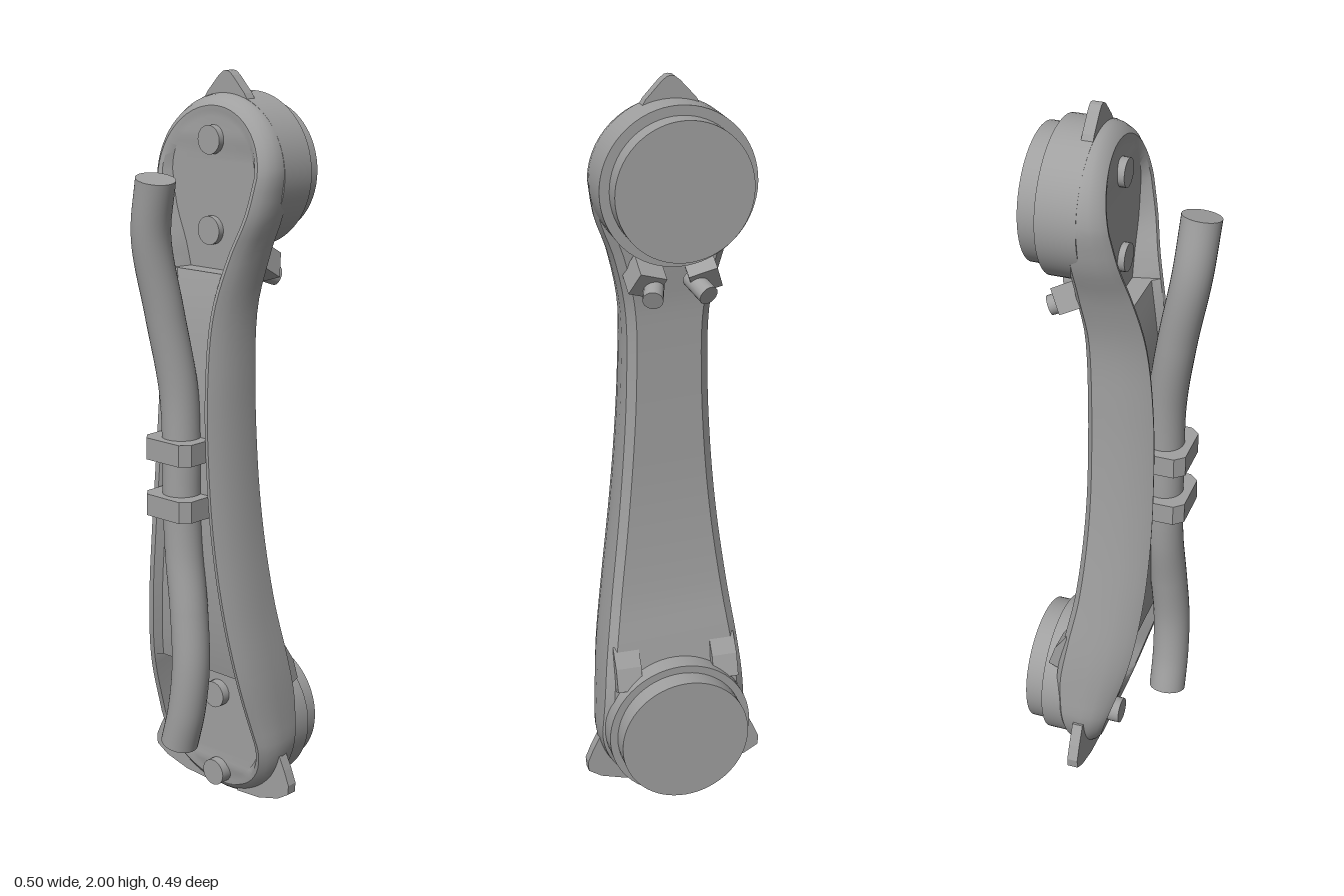
import * as THREE from 'three';
import { toCreasedNormals } from 'three/addons/utils/BufferGeometryUtils.js';

const CX = 0.012; // centre line of the arm
const BOT = { y: 0.215, r: 0.21 }, TOP = { y: 1.745, r: 0.2 };

// smooth interpolation through [y, value] pairs
function profile(pts) {
  const slope = (i) => {
    const a = pts[Math.max(i - 1, 0)], b = pts[Math.min(i + 1, pts.length - 1)];
    return (b[1] - a[1]) / (b[0] - a[0]);
  };
  return (y) => {
    if (y <= pts[0][0]) return pts[0][1];
    if (y >= pts[pts.length - 1][0]) return pts[pts.length - 1][1];
    let i = 0;
    while (y > pts[i + 1][0]) i++;
    const h = pts[i + 1][0] - pts[i][0], t = (y - pts[i][0]) / h, t2 = t * t, t3 = t2 * t;
    return pts[i][1] * (2 * t3 - 3 * t2 + 1) + pts[i + 1][1] * (3 * t2 - 2 * t3)
      + h * slope(i) * (t3 - 2 * t2 + t) + h * slope(i + 1) * (t3 - t2);
  };
}

const halfWidth = profile([[0.215, 0.21], [0.4, 0.195], [0.6, 0.168], [0.8, 0.143], [1, 0.125],
  [1.2, 0.115], [1.4, 0.117], [1.55, 0.148], [1.65, 0.184], [1.745, 0.2]]);
const frontZ = profile([[0.01, -0.06], [0.1, -0.03], [0.2, 0], [0.4, 0.06], [0.6, 0.092], [0.8, 0.105],
  [1, 0.106], [1.2, 0.1], [1.4, 0.08], [1.6, 0.04], [1.8, 0.003], [1.94, -0.02]]);
const backZ = profile([[0.01, -0.125], [0.3, -0.15], [0.45, -0.13], [0.6, -0.102], [0.8, -0.083],
  [1, -0.076], [1.4, -0.08], [1.55, -0.095], [1.94, -0.11]]);
const seamZ = profile([[0.01, -0.09], [0.3, -0.06], [0.6, -0.025], [1, -0.02], [1.4, -0.03], [1.94, -0.065]]);

// outline of the arm, inset by d, at one row
function outline(row, d) {
  if (row.arc) {
    const r = row.arc.r - d;
    return [r * Math.cos(row.a), row.arc.y + r * Math.sin(row.a)];
  }
  return [halfWidth(row.y) - d, row.y];
}

// shell with a shallow front channel and a deep flat pocket at each end
function armGeometry() {
  const rows = [], N = 14, PB = 0.41, PT = 1.5;
  for (let i = 0; i < N; i++) rows.push({ arc: BOT, a: (i / N - 1) * Math.PI / 2, zone: 0 });
  const span = (a, b, n, zone) => {
    for (let i = 0; i <= n; i++) rows.push({ y: a + (b - a) * i / n, zone });
  };
  span(BOT.y, PB, 6, 0);
  span(PB, PT, 30, 1);
  span(PT, TOP.y, 8, 2);
  for (let i = 1; i <= N; i++) rows.push({ arc: TOP, a: i / N * Math.PI / 2, zone: 2 });

  const floor = (y, zone) => zone === 1 ? frontZ(y) - 0.022
    : Math.min(zone === 0 ? -0.04 : -0.012, frontZ(y) - 0.008);
  const columns = [
    [0.028, (y) => backZ(y)],
    [0.006, (y) => backZ(y) + 0.018],
    [0, (y) => seamZ(y)],
    [0.004, (y) => seamZ(y) * 0.6 + frontZ(y) * 0.4],
    [0.014, (y) => seamZ(y) * 0.22 + frontZ(y) * 0.78],
    [0.03, (y) => frontZ(y)],
    [0.042, (y) => frontZ(y) - 0.003],
    [0.058, floor],
  ];
  const pos = [], idx = [], M = columns.length * 2;
  for (const row of rows) {
    const half = columns.map(([d, z]) => {
      const [x, y] = outline(row, d);
      return [x, y, z(y, row.zone)];
    });
    half.forEach((p) => pos.push(...p));
    half.reverse().forEach(([x, y, z]) => pos.push(-x, y, z));
  }
  for (let i = 0; i < rows.length - 1; i++) for (let j = 0; j < M; j++) {
    const a = i * M + j, b = i * M + (j + 1) % M;
    idx.push(a, a + M, b, b, a + M, b + M);
  }
  const g = new THREE.BufferGeometry();
  g.setAttribute('position', new THREE.Float32BufferAttribute(pos, 3));
  g.setIndex(idx);
  return toCreasedNormals(g, 0.55);
}

// flat outline extruded along z, from z0 to z1
function plate(points, z0, z1) {
  const s = new THREE.Shape(points.map(([x, y]) => new THREE.Vector2(x, y)));
  const g = new THREE.ExtrudeGeometry(s, { depth: z1 - z0, bevelEnabled: false });
  return g.translate(0, 0, z0);
}

// round disc whose axis runs along z
function disc(r, z0, z1, seg = 64) {
  return new THREE.CylinderGeometry(r, r, z1 - z0, seg).rotateX(Math.PI / 2).translate(0, 0, (z0 + z1) / 2);
}

export function createModel() {
  const model = new THREE.Group();
  const grey = new THREE.MeshStandardMaterial({ color: 0xa0a0a0 });
  grey.name = 'grey';
  const add = (name, geo, x = 0, y = 0, z = 0) => {
    const m = new THREE.Mesh(geo, grey);
    m.name = name;
    m.position.set(x, y, z);
    model.add(m);
    return m;
  };

  add('armShell', armGeometry(), CX);

  // stepped joint hubs on the back
  add('upperHubFlange', disc(0.2, -0.165, -0.06), CX, TOP.y);
  add('upperHubFace', disc(0.175, -0.218, -0.16), CX, TOP.y);
  add('lowerHubFlange', disc(0.198, -0.19, -0.08), CX, 0.225);
  add('lowerHubFace', disc(0.177, -0.245, -0.18), CX, 0.225);

  // bolts in the front pockets
  for (const y of [1.83, 1.6]) add('upperBolt', disc(0.037, -0.03, 0.005, 24), CX, y);
  for (const y of [0.075, 0.31]) add('lowerBolt', disc(0.037, -0.07, -0.015, 24), CX, y);

  // hose along the front
  const path = new THREE.CatmullRomCurve3([
    [0.007, 1.748, 0.192], [-0.022, 1.6, 0.18], [-0.013, 1.4, 0.142], [0.006, 1.2, 0.112], [0.012, 1.04, 0.107],
    [0.012, 0.9, 0.107], [0.02, 0.75, 0.107], [0.042, 0.6, 0.113], [0.055, 0.45, 0.12], [0.042, 0.32, 0.123],
    [0.015, 0.215, 0.123],
  ].map((p) => new THREE.Vector3(...p)));
  add('hose', new THREE.TubeGeometry(path, 80, 0.051, 28));
  for (const t of [0, 1]) {
    const cap = add('hoseEnd', new THREE.CircleGeometry(0.051, 28));
    cap.position.copy(path.getPointAt(t));
    const dir = path.getTangentAt(t).multiplyScalar(t ? 1 : -1);
    cap.quaternion.setFromUnitVectors(new THREE.Vector3(0, 0, 1), dir);
  }

  // chamfered clips holding the hose
  for (const y of [1.045, 0.893]) {
    const clip = plate([[-0.067, -0.07], [0.092, -0.07], [0.092, -0.155], [0.07, -0.18], [-0.045, -0.18],
      [-0.067, -0.155]].reverse(), -0.029, 0.029).rotateX(-Math.PI / 2);
    add('hoseClip', clip, 0, y);
  }

  // pointed tabs at the top and on both lower sides
  add('topTab', plate([[-0.07, 1.915], [0.094, 1.915], [0.075, 1.945], [0.035, 1.988], [0.022, 1.998], [0.012, 2],
    [0.002, 1.998], [-0.011, 1.988], [-0.051, 1.945]].map(([x, y]) => [x, y]), -0.09, -0.06));
  const tab = [[0.05, 0.02], [0.13, 0.025], [0.2, 0.045], [0.236, 0.068], [0.238, 0.095], [0.222, 0.135],
    [0.195, 0.19], [0.12, 0.18]];
  add('leftTab', plate(tab, -0.09, -0.06), CX);
  add('rightTab', plate(tab.map(([x, y]) => [-x * 1.1, y]).reverse(), -0.09, -0.06), CX);

  // small cable sockets below the upper hub
  for (const s of [-1, 1]) {
    const lug = add('socketBlock', new THREE.BoxGeometry(0.075, 0.07, 0.07), CX + s * 0.075, 1.51, -0.115);
    lug.rotation.set(-0.5, 0, s * 0.35);
    const plug = add('socketPlug', new THREE.CylinderGeometry(0.026, 0.026, 0.08, 16),
      CX + s * 0.06, 1.482, -0.145);
    plug.rotation.set(1.2, 0, s * 0.3);
  }

  // wedge ribs blending the shell into the lower hub
  for (const s of [-1, 1]) {
    const rib = plate([[-0.12, 0.47], [-0.155, 0.42], [-0.175, 0.36], [-0.1, 0.33]], -0.035, 0.035);
    const m = add('hubRib', rib.rotateY(Math.PI / 2), CX + s * 0.135, 0, 0);
    m.geometry.scale(1, 1, -1);
    const ix = m.geometry.attributes.position;
    // restore outward winding after the mirror
    for (let i = 0; i < ix.count; i += 3) {
      const a = new THREE.Vector3().fromBufferAttribute(ix, i), b = new THREE.Vector3().fromBufferAttribute(ix, i + 1);
      ix.setXYZ(i, b.x, b.y, b.z);
      ix.setXYZ(i + 1, a.x, a.y, a.z);
    }
    m.geometry.computeVertexNormals();
  }
  return model;
}
